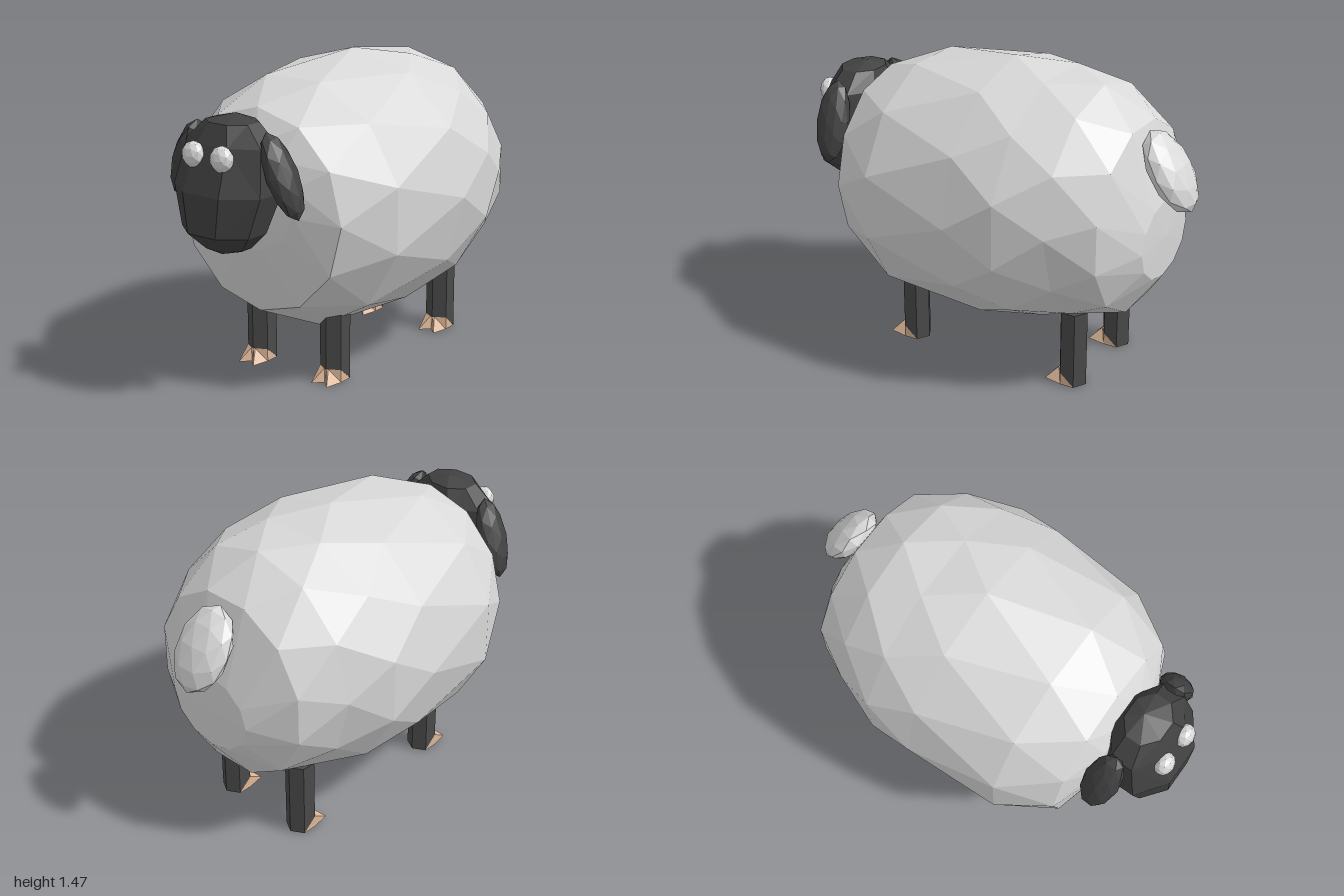
import * as THREE from 'three';

const mat = (name, color) => {
  const m = new THREE.MeshStandardMaterial({ color, flatShading: true });
  m.name = name;
  return m;
};

// Skin a stack of closed rings (listed bottom to top) and close both ends
function loft(rings, capLow, capHigh) {
  const n = rings[0].length, pos = [], index = [];
  rings.forEach(r => r.forEach(p => pos.push(...p)));
  pos.push(...capLow, ...capHigh);
  const low = rings.length * n, high = low + 1, last = (rings.length - 1) * n;
  for (let j = 0; j < n; j++) {
    const k = (j + 1) % n;
    for (let i = 0; i < rings.length - 1; i++) {
      const a = i * n + j, b = i * n + k, c = b + n, d = a + n;
      if (i % 2) index.push(a, b, c, a, c, d);
      else index.push(a, b, d, b, c, d);
    }
    index.push(low, k, j, high, last + j, last + k);
  }
  const g = new THREE.BufferGeometry();
  g.setAttribute('position', new THREE.Float32BufferAttribute(pos, 3));
  g.setIndex(index);
  const flat = g.toNonIndexed();
  flat.computeVertexNormals();
  return flat;
}

// Elliptical ring in the xz plane; shift turns it by a part of one side
const ring = (n, cx, y, rx, rz, shift = 0) => Array.from({ length: n }, (_, j) => {
  const t = (j + shift) / n * Math.PI * 2;
  return [cx + rx * Math.sin(t), y, rz * Math.cos(t)];
});

export function createModel() {
  const sheep = new THREE.Group();
  sheep.name = 'sheep';
  const wool = mat('wool', 0xd8d8d8);
  const face = mat('darkFace', 0x414141);
  const legMat = mat('darkLeg', 0x4a4a4a);
  const horn = mat('hoofTan', 0xdbb597);

  const add = (name, geometry, material, parent = sheep) => {
    const m = new THREE.Mesh(geometry, material);
    m.name = name;
    parent.add(m);
    return m;
  };

  // Fleece: staggered rings from chest to rump [x, centre y, half height, half width]
  const sections = [
    [-0.70, 0.92, 0.25, 0.27], [-0.62, 0.83, 0.47, 0.46], [-0.37, 0.82, 0.59, 0.60],
    [0.08, 0.84, 0.63, 0.635], [0.32, 0.845, 0.60, 0.63], [0.54, 0.86, 0.55, 0.54],
    [0.74, 0.815, 0.455, 0.445], [0.865, 0.74, 0.19, 0.23],
  ];
  const body = loft(
    sections.map(([x, y, h, w], i) => ring(12, -y, x, h, w, i % 2 ? 0 : -0.5)),
    [-0.90, -0.73, 0], [-0.75, 0.873, 0]);
  body.rotateZ(-Math.PI / 2);
  add('fleece', body, wool);

  // Tail: flattened egg leaning down and back
  const tail = add('tail', new THREE.IcosahedronGeometry(1, 1), wool);
  tail.scale.set(0.078, 0.205, 0.145);
  tail.rotation.z = 0.57;
  tail.position.set(0.88, 1.068, 0);

  // Head: rings from chin to crown [y, front x, back x, half width]
  const head = new THREE.Group();
  head.name = 'head';
  sheep.add(head);
  const skull = [
    [0.72, -0.92, -0.75, 0.11], [0.80, -1.0, -0.71, 0.19], [0.98, -1.0, -0.65, 0.245],
    [1.18, -0.925, -0.66, 0.21], [1.27, -0.88, -0.69, 0.12],
  ];
  const stretch = 1 / Math.cos(Math.PI / 8);
  add('skull', loft(
    skull.map(([y, f, b, w]) => ring(8, (f + b) / 2, y, (b - f) / 2 * stretch, w * stretch, 0.5)),
    [-0.87, 0.69, 0], [-0.76, 1.3, 0]), face, head);

  // Ears and eyes, one on each side
  for (const s of [1, -1]) {
    const side = s > 0 ? 'left' : 'right';
    const ear = add(side + 'Ear', new THREE.IcosahedronGeometry(1, 1), face, head);
    ear.scale.set(0.085, 0.2, 0.06);
    ear.rotation.set(-s * 0.38, 0, 0.08);
    ear.position.set(s > 0 ? -0.78 : -0.755, 1.06, s > 0 ? 0.27 : -0.29);

    const eye = add(side + 'Eye', new THREE.IcosahedronGeometry(1, 1), wool, head);
    eye.scale.set(0.045, 0.06, 0.056);
    eye.position.set(-0.942, 1.137, s > 0 ? 0.075 : -0.085);
  }

  // Leg: six-sided post, corner to the back, cut on a slope at the front of the foot
  const post = (foot, y) => Array.from({ length: 6 }, (_, j) => {
    const t = j / 6 * Math.PI * 2, x = 0.07 * Math.cos(t);
    return [x, foot && x < 0 ? 0.06 : y, -0.07 * Math.sin(t)];
  });
  const legGeo = loft([post(true, 0.002), post(false, 0.38)], [0, 0.03, 0], [0, 0.38, 0]);

  // Hoof: wedge with two pointed toes [base x, z, top x, y, z]
  const outline = [
    [0.068, 0, 0.06, 0.002, 0], [0.035, -0.06, 0.034, 0.003, -0.059],
    [-0.035, -0.061, -0.035, 0.062, -0.06], [-0.125, -0.045, -0.068, 0.062, -0.012],
    [-0.08, 0, -0.066, 0.064, 0], [-0.125, 0.045, -0.068, 0.062, 0.012],
    [-0.035, 0.061, -0.035, 0.062, 0.06], [0.035, 0.06, 0.034, 0.003, 0.059],
  ];
  const hoofGeo = loft([outline.map(p => [p[0], 0, p[1]]), outline.map(p => p.slice(2))],
    [-0.02, 0, 0], [-0.02, 0.045, 0]);

  for (const [end, x] of [['front', -0.35], ['back', 0.53]]) {
    for (const s of [1, -1]) {
      const leg = new THREE.Group();
      leg.name = end + (s > 0 ? 'Left' : 'Right') + 'Leg';
      leg.position.set(x, 0, s * 0.22);
      add('shank', legGeo, legMat, leg);
      add('hoof', hoofGeo, horn, leg);
      sheep.add(leg);
    }
  }
  return sheep;
}
